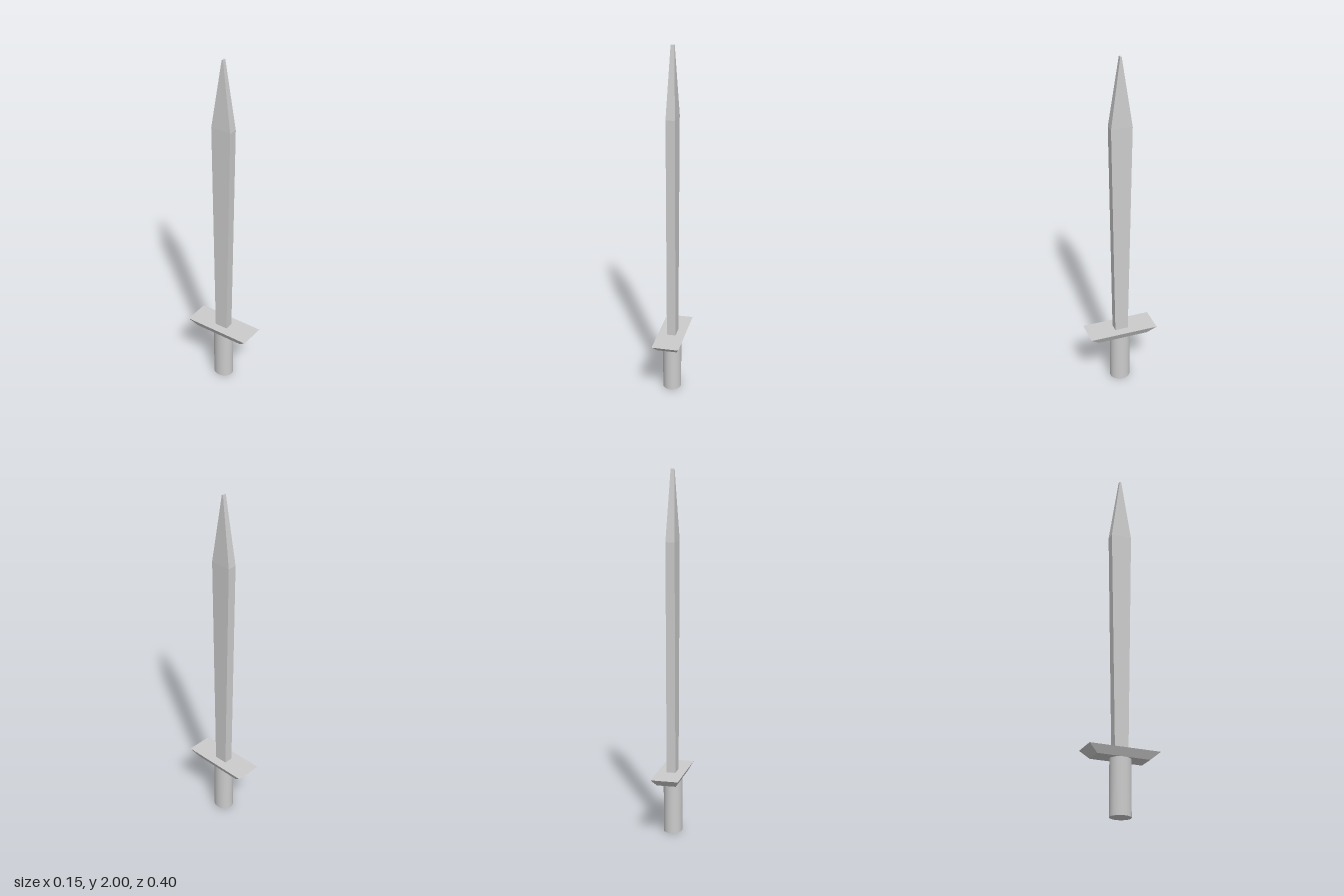
import * as THREE from 'three';

const material = new THREE.MeshStandardMaterial({ color: 0xcccccc, flatShading: true });
const smoothMaterial = new THREE.MeshStandardMaterial({ color: 0xcccccc });

// Stack of rectangular cross-sections [y, half width x, half depth z, centre z], skinned from a box.
function rectLoft(name, sections) {
  const steps = sections.length - 1;
  const geometry = new THREE.BoxGeometry(2, steps, 2, 1, steps, 1);
  const pos = geometry.attributes.position;
  for (let i = 0; i < pos.count; i++) {
    const [y, hx, hz, cz] = sections[Math.round(pos.getY(i) + steps / 2)];
    pos.setXYZ(i, pos.getX(i) * hx, y, pos.getZ(i) * hz + cz);
  }
  geometry.computeVertexNormals();
  const mesh = new THREE.Mesh(geometry, material);
  mesh.name = name;
  return mesh;
}

export function createModel() {
  const group = new THREE.Group();
  group.name = 'sword';

  // Round grip, slightly deeper than wide
  const grip = new THREE.Mesh(new THREE.CylinderGeometry(1, 1, 0.305, 32), smoothMaterial);
  grip.name = 'grip';
  grip.scale.set(0.052, 1, 0.058);
  grip.position.set(-0.002, 0.1525, 0);
  group.add(grip);

  // Crossguard flaring upward to a flat top
  group.add(rectLoft('crossguard', [
    [0.305, 0.053, 0.147, -0.001],
    [0.348, 0.076, 0.198, -0.001],
  ]));

  // Blade widening toward the tip, then tapering to a narrow edge
  group.add(rectLoft('blade', [
    [0.345, 0.025, 0.038, -0.002],
    [1.62, 0.025, 0.059, -0.0025],
    [2, 0.01, 0.004, -0.0025],
  ]));

  return group;
}
